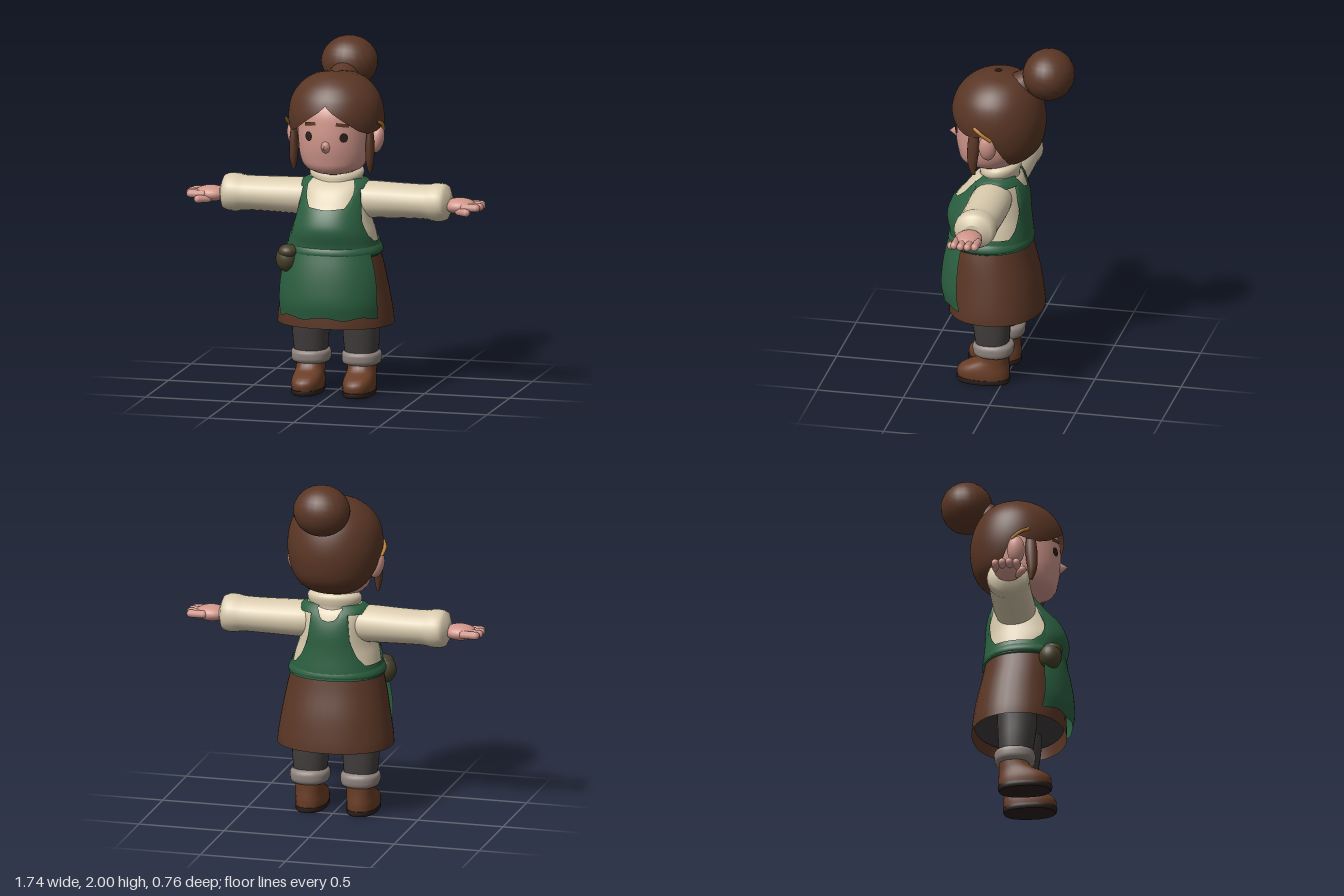
import * as THREE from 'three';

const mat = (name, color, side = THREE.FrontSide) => {
  const m = new THREE.MeshStandardMaterial({ color, side });
  m.name = name;
  return m;
};

// Rows are [y, half width, front z, back z]; smooth interpolation at any y.
function sample(rows, y) {
  const n = rows.length - 1;
  let i = 0;
  while (i < n - 1 && y > rows[i + 1][0]) i++;
  const a = rows[i], b = rows[i + 1], h = b[0] - a[0];
  const t = THREE.MathUtils.clamp((y - a[0]) / h, 0, 1);
  const slope = (k, c) => {
    const p = rows[Math.max(k - 1, 0)], q = rows[Math.min(k + 1, n)];
    return (q[c] - p[c]) / (q[0] - p[0]);
  };
  return [1, 2, 3].map(c =>
    (2 * t ** 3 - 3 * t * t + 1) * a[c] + (t ** 3 - 2 * t * t + t) * h * slope(i, c) +
    (3 * t * t - 2 * t ** 3) * b[c] + (t ** 3 - t * t) * h * slope(i + 1, c));
}

// Point at an angle from the front (+z) on the surface described by rows.
function surfacePoint(rows, phi, y, power = 1, off = 0) {
  const [rx, zf, zb] = sample(rows, y);
  const s = Math.sin(phi), c = Math.cos(phi);
  return [
    (rx + off) * Math.sign(s) * Math.abs(s) ** power, y,
    (zf + zb) / 2 + ((zf - zb) / 2 + off) * Math.sign(c) * Math.abs(c) ** power];
}

// Piecewise-linear lookup in a list of [degrees, height], mirrored left and right.
const profile = list => phi => {
  const d = Math.abs(THREE.MathUtils.radToDeg(phi));
  let i = 0;
  while (i < list.length - 2 && d > list[i + 1][0]) i++;
  const [d0, y0] = list[i], [d1, y1] = list[i + 1];
  return y0 + (y1 - y0) * THREE.MathUtils.clamp((d - d0) / (d1 - d0), 0, 1);
};

// Part of a surface between two heights (numbers or functions of the angle).
function patch(rows, { low = rows[0][0], high = rows.at(-1)[0], from = -180, to = 180,
  segs = 32, steps = 16, power = 1, off = 0, caps = false } = {}) {
  const pos = [], idx = [], full = to - from === 360, cols = full ? segs : segs + 1;
  const val = (f, p) => (typeof f === 'function' ? f(p) : f);
  for (let j = 0; j <= steps; j++) {
    for (let i = 0; i < cols; i++) {
      const phi = THREE.MathUtils.degToRad(from + (to - from) * i / segs);
      const y = THREE.MathUtils.lerp(val(low, phi), val(high, phi), j / steps);
      pos.push(...surfacePoint(rows, phi, y, power, off));
    }
  }
  for (let j = 0; j < steps; j++) {
    for (let i = 0; i < segs; i++) {
      const k = (i + 1) % cols, a = j * cols + i, b = j * cols + k;
      idx.push(a, b, b + cols, a, b + cols, a + cols);
    }
  }
  if (caps) {
    for (const [j, flip] of [[0, true], [steps, false]]) {
      const base = pos.length / 3, ring = pos.slice(j * cols * 3, (j + 1) * cols * 3);
      const r = rows[j ? rows.length - 1 : 0];
      pos.push(...ring, 0, r[0], (r[2] + r[3]) / 2);
      for (let i = 0; i < cols; i++) {
        const a = base + i, b = base + (i + 1) % cols;
        idx.push(base + cols, flip ? b : a, flip ? a : b);
      }
    }
  }
  const g = new THREE.BufferGeometry();
  g.setAttribute('position', new THREE.Float32BufferAttribute(pos, 3));
  g.setIndex(idx);
  g.computeVertexNormals();
  return g;
}

export function createModel() {
  const D = THREE.DoubleSide;
  const skin = mat('skin', 0xd0968b), brown = mat('hair and skirt brown', 0x5a3625, D);
  const cream = mat('cream wool', 0xd9cbae), green = mat('apron green', 0x2b5f40, D);
  const charcoal = mat('charcoal cloth', 0x413d3c, D), fur = mat('grey fur', 0x8f837d);
  const leather = mat('boot leather', 0x6a3d26), dark = mat('dark', 0x2b1f1c, D);
  const olive = mat('pouch olive', 0x47412a), gold = mat('clip gold', 0xb5772c);

  const model = new THREE.Group();
  const add = (name, geo, material, x = 0, y = 0, z = 0) => {
    const m = new THREE.Mesh(geo, material);
    m.name = name;
    m.position.set(x, y, z);
    model.add(m);
    return m;
  };
  const ball = (name, material, [x, y, z], [sx, sy, sz]) => {
    const m = add(name, new THREE.SphereGeometry(1, 24, 16), material, x, y, z);
    m.scale.set(sx, sy, sz);
    return m;
  };
  const rod = (name, material, points, radius) =>
    add(name, new THREE.TubeGeometry(new THREE.CatmullRomCurve3(
      points.map(p => new THREE.Vector3(...p))), 10, radius, 8), material);

  // Skirt with a dark underside
  const skirt = [[.41, .333, .335, -.203], [.46, .33, .335, -.2], [.6, .308, .33, -.18],
    [.75, .28, .325, -.145], [.85, .255, .315, -.125]];
  add('skirt', patch(skirt, { segs: 40, power: .92 }), brown);
  const lining = add('skirtLining', new THREE.CircleGeometry(1, 32).rotateX(Math.PI / 2), charcoal, 0, .47, .066);
  lining.scale.set(.315, 1, .255);

  // Sweater body and rolled collar
  const torso = [[.82, .262, .32, -.13], [.88, .25, .322, -.125], [.95, .235, .338, -.118],
    [1.0, .218, .335, -.115], [1.08, .2, .3, -.112], [1.14, .195, .25, -.1],
    [1.2, .192, .2, -.075], [1.235, .165, .15, -.045], [1.255, .1, .11, -.03]];
  add('sweaterBody', patch(torso, { segs: 40, steps: 24, power: .92, caps: true }), cream);
  const collar = [[1.17, .15, .2, -.075], [1.22, .135, .165, -.06], [1.255, .155, .16, -.066],
    [1.285, .155, .145, -.068], [1.305, .135, .115, -.055], [1.315, .1, .09, -.03]];
  add('collar', patch(collar, { caps: true }), cream);

  // Apron: bib with arm holes, shoulder straps, waistband and front panel
  const bibTop = profile([[0, 1.09], [28, 1.1], [38, 1.15], [44, 1.24], [55, 1.24], [60, 1.02],
    [66, .94], [76, .9], [128, .9], [140, .95], [147, 1.05], [150, 1.22], [162, 1.22], [170, 1.17], [180, 1.16]]);
  add('apronBib', patch(torso, { low: .82, high: bibTop, segs: 120, power: .92, off: .011 }), green);
  for (const s of [1, -1]) {
    add('shoulderStrap', patch(torso, {
      low: 1.195, high: 1.243, from: s > 0 ? 44 : -160, to: s > 0 ? 160 : -44,
      steps: 5, power: .92, off: .013 }), green);
  }
  const band = [[.815, .265, .33, -.13], [.835, .278, .342, -.142], [.86, .272, .338, -.138], [.88, .258, .326, -.128]];
  add('waistband', patch(band, { segs: 40, steps: 8, power: .92 }), green);
  const panel = [[.47, .32, .365, -.2], [.55, .322, .382, -.19], [.65, .318, .376, -.175],
    [.75, .3, .36, -.15], [.85, .272, .336, -.13]];
  const hem = phi => .472 + .008 * Math.cos(phi * 9);
  add('apronPanel', patch(panel, { low: hem, from: -62, to: 62, power: .92 }), green);

  // Belt pouch
  ball('pouch', olive, [-.235, .795, .265], [.064, .075, .065]);
  ball('pouchFlap', olive, [-.225, .84, .275], [.056, .04, .06]);

  // Head and face
  const head = [[1.265, .04, .15, 0], [1.28, .1, .215, -.03], [1.31, .16, .268, -.05],
    [1.37, .194, .288, -.09], [1.45, .206, .302, -.12], [1.55, .213, .302, -.14],
    [1.65, .21, .285, -.12], [1.74, .15, .22, -.07]];
  add('head', patch(head, { steps: 24, caps: true }), skin);
  const nose = add('nose', new THREE.ConeGeometry(.034, .06, 8).rotateX(Math.PI / 2), skin, 0, 1.455, .317);
  nose.scale.y = 1.35;

  // Flat face details bent onto the head
  const decal = (name, geo, x, y, material) => {
    const p = geo.attributes.position;
    for (let i = 0; i < p.count; i++) {
      const py = y + p.getY(i), phi = Math.asin((x + p.getX(i)) / sample(head, py)[0]);
      p.setXYZ(i, ...surfacePoint(head, phi, py, 1, .006));
    }
    geo.computeVertexNormals();
    add(name, geo, material);
  };
  for (const s of [1, -1]) {
    decal('eye', new THREE.CircleGeometry(.024, 20).scale(.9, 1.15, 1), s * .1, 1.51, dark);
    decal('eyebrow', new THREE.PlaneGeometry(.068, .02, 6, 1).rotateZ(-s * .15), s * .092, 1.582, brown);
    const ear = ball('ear', skin, [s * .242, 1.47, .07], [.04, .08, .05]);
    ear.rotation.z = -s * .2;
  }

  // Hair: swept fringe in front, full at the back
  const hair = [[1.315, .11, .08, -.08], [1.34, .165, .15, -.12], [1.4, .222, .22, -.178],
    [1.5, .262, .3, -.208], [1.6, .272, .325, -.21], [1.7, .254, .305, -.185], [1.77, .21, .26, -.145],
    [1.815, .155, .205, -.1], [1.84, .095, .15, -.04], [1.85, .02, .08, .04]];
  const hairLine = profile([[0, 1.69], [8, 1.655], [25, 1.6], [42, 1.545], [55, 1.525], [70, 1.53],
    [85, 1.55], [93, 1.5], [100, 1.41], [110, 1.35], [125, 1.325], [180, 1.32]]);
  add('hair', patch(hair, { low: hairLine, segs: 90, steps: 24 }), brown);
  ball('bun', brown, [0, 1.852, -.232], [.163, .147, .148]);
  const knot = add('bunBase', new THREE.CylinderGeometry(.075, .1, .12, 20), brown, 0, 1.785, -.11);
  knot.rotation.x = -.9;
  for (const s of [1, -1]) {
    const lock = [[-.16, .008, .01, -.01], [-.1, .022, .032, -.02], [0, .025, .036, -.032], [.1, .016, .025, -.03]];
    add('sideLock', patch(lock, { segs: 14, caps: true }), brown, s * .223, 1.45, .155);
    rod('hairClip', gold, [[s * .258, 1.59, .145], [s * .279, 1.565, .1], [s * .272, 1.525, .045]], .011);
  }

  // Arms: sleeves with soft cuffs, mitten palms and short fingers
  const sleeve = [[.1, .1, .165, -.045], [.2, .105, .178, -.058], [.4, .1, .175, -.06], [.54, .1, .176, -.058],
    [.575, .108, .18, -.062], [.63, .106, .176, -.058], [.66, .088, .155, -.035], [.672, .05, .11, .01]];
  for (const s of [1, -1]) {
    add('sleeve', patch(sleeve, { segs: 24, steps: 28, caps: true }).rotateZ(-s * Math.PI / 2),
      cream, 0, 1.122, 0);
    ball('palm', skin, [s * .73, 1.11, .07], [.095, .046, .078]);
    for (let i = 0; i < 4; i++) {
      const z = .008 + i * .04, f = new THREE.CapsuleGeometry(.023, .075, 4, 10).rotateZ(Math.PI / 2);
      add('finger', f, skin, s * (i % 3 ? .81 : .8), 1.112, z);
    }
    const thumb = add('thumb', new THREE.CapsuleGeometry(.023, .06, 4, 10).rotateZ(Math.PI / 2), skin,
      s * .76, 1.088, .142);
    thumb.rotation.y = -s * .55;
  }

  // Legs, fur cuffs and boots
  const leg = [[.2, .09, .15, -.03], [.3, .1, .165, -.038], [.4, .105, .178, -.042], [.5, .11, .18, -.045]];
  const furCuff = [[.162, .075, .12, -.025], [.175, .103, .16, -.052], [.21, .112, .172, -.062],
    [.24, .106, .165, -.056], [.255, .08, .13, -.03]];
  const boot = [[.025, .085, .258, -.035], [.06, .089, .265, -.038], [.09, .087, .25, -.037],
    [.115, .083, .205, -.035], [.135, .081, .16, -.034], [.18, .083, .132, -.035]];
  const sole = [[0, .082, .258, -.034], [.012, .088, .268, -.04], [.03, .088, .268, -.04]];
  for (const s of [1, -1]) {
    const opts = { segs: 24, steps: 12, power: .85, caps: true };
    add('trouserLeg', patch(leg, opts), charcoal, s * .148);
    add('furCuff', patch(furCuff, opts), fur, s * .148);
    add('boot', patch(boot, opts), leather, s * .15);
    add('sole', patch(sole, { ...opts, steps: 3 }), dark, s * .15);
  }
  return model;
}
